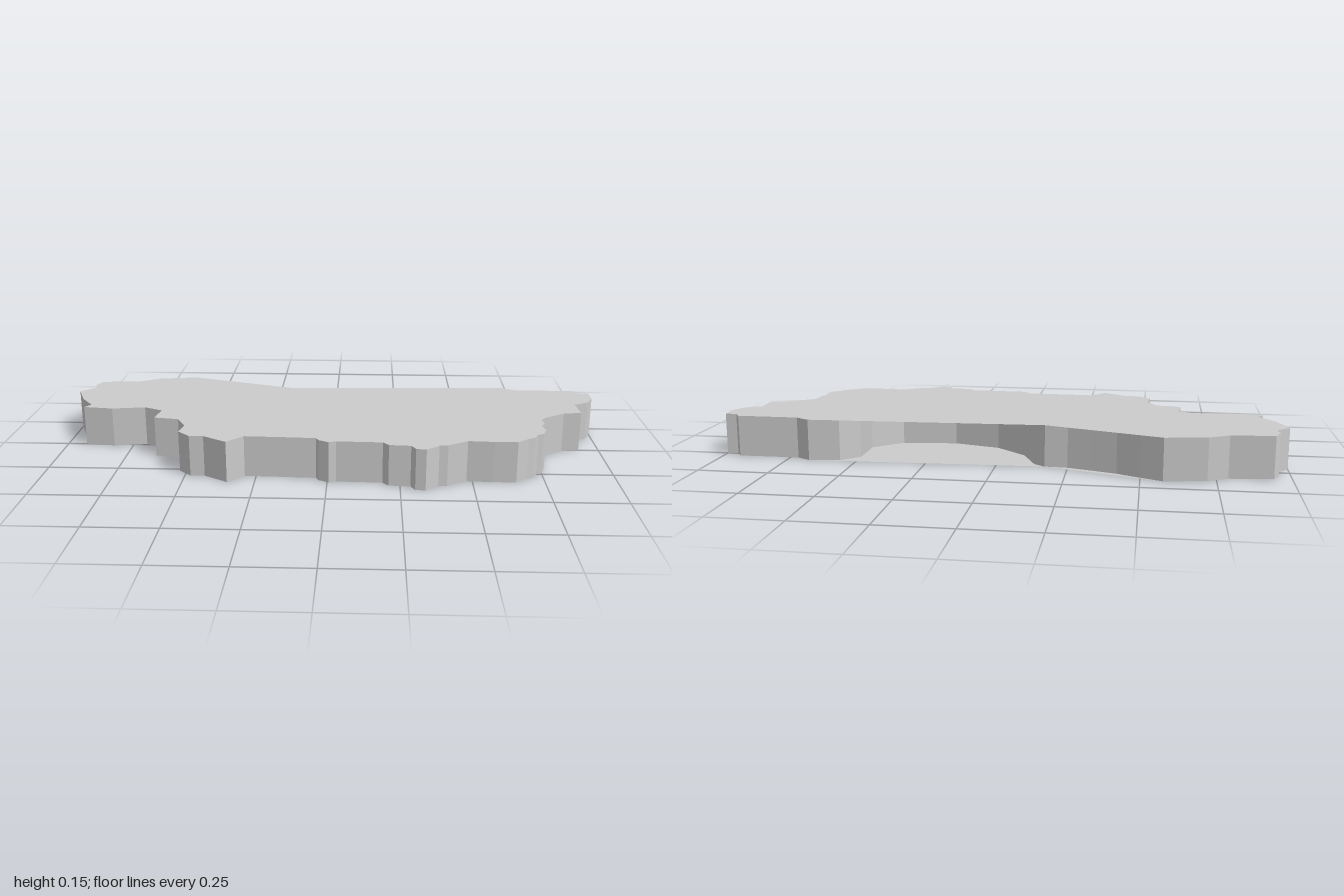
import * as THREE from 'three';

const HEIGHT = 0.147;

// Outline seen from above as [x, z], clockwise from the -x tip.
const backRight = [[-1, -0.2], [-0.95, -0.25], [-0.96, -0.29], [-0.94, -0.335], [-0.79, -0.35], [-0.72, -0.39], [-0.575, -0.415]];
const backCorner = [[-0.17, -0.28]];
const backLeft = [[0.67, -0.31], [0.72, -0.28], [0.94, -0.28], [0.96, -0.25], [1, -0.25]];
const leftEnd = [
  [1, -0.18], [0.975, -0.13], [0.92, -0.1], [0.925, 0], [0.86, 0.01], [0.78, 0.065], [0.765, 0.09], [0.77, 0.13],
  [0.755, 0.16], [0.765, 0.2], [0.75, 0.24], [0.73, 0.25], [0.715, 0.28], [0.69, 0.295], [0.65, 0.33],
];
const front = [
  [0.57, 0.33], [0.48, 0.325], [0.41, 0.37], [0.38, 0.375], [0.335, 0.415], [0.3, 0.41], [0.285, 0.38], [0.21, 0.375],
  [0.19, 0.35], [0.03, 0.345], [0.005, 0.355], [-0.03, 0.335], [-0.04, 0.315], [-0.15, 0.31], [-0.29, 0.305],
  [-0.345, 0.365], [-0.43, 0.31], [-0.48, 0.31], [-0.525, 0.265],
];
const rightEnd = [
  [-0.515, 0.2], [-0.55, 0.13], [-0.64, 0.115], [-0.63, 0.03], [-0.7, -0.005], [-0.82, 0.015], [-0.93, 0],
  [-0.91, -0.03], [-0.96, -0.1],
];

// The side wall draws back under the plates along the back edge.
const recess = [[-0.5, -0.38], [-0.42, -0.34], [-0.33, -0.31], [-0.25, -0.285]];
const bay = [
  [-0.13, -0.25], [-0.08, -0.13], [0.03, -0.03], [0.2, 0.02], [0.4, 0], [0.5, -0.09], [0.5, -0.235], [0.56, -0.295],
];

const rest = [...backLeft, ...leftEnd, ...front, ...rightEnd];
const plateOutline = [...backRight, ...backCorner, ...rest];
const wallOutline = [...backRight, ...recess, ...backCorner, ...bay, ...rest];

// Flat plate facing up (side = 1) or down (side = -1)
function plateGeometry(side) {
  const shape = new THREE.Shape(plateOutline.map(([x, z]) => new THREE.Vector2(x, -side * z)));
  return new THREE.ShapeGeometry(shape).rotateX(-side * Math.PI / 2);
}

// Upright faceted band following the wall outline
function wallGeometry() {
  const p = [];
  wallOutline.forEach(([ax, az], i) => {
    const [bx, bz] = wallOutline[(i + 1) % wallOutline.length];
    p.push(ax, 0, az, ax, HEIGHT, az, bx, HEIGHT, bz);
    p.push(ax, 0, az, bx, HEIGHT, bz, bx, 0, bz);
  });
  const g = new THREE.BufferGeometry();
  g.setAttribute('position', new THREE.Float32BufferAttribute(p, 3));
  g.computeVertexNormals();
  return g;
}

export function createModel() {
  const group = new THREE.Group();
  group.name = 'irregularSlab';
  const material = new THREE.MeshStandardMaterial({ color: 0xcccccc, flatShading: true, side: THREE.DoubleSide });
  const add = (name, geometry, y = 0) => {
    const mesh = new THREE.Mesh(geometry, material);
    mesh.name = name;
    mesh.position.y = y;
    group.add(mesh);
  };
  add('topPlate', plateGeometry(1), HEIGHT);
  add('bottomPlate', plateGeometry(-1));
  add('sideWall', wallGeometry());
  return group;
}
